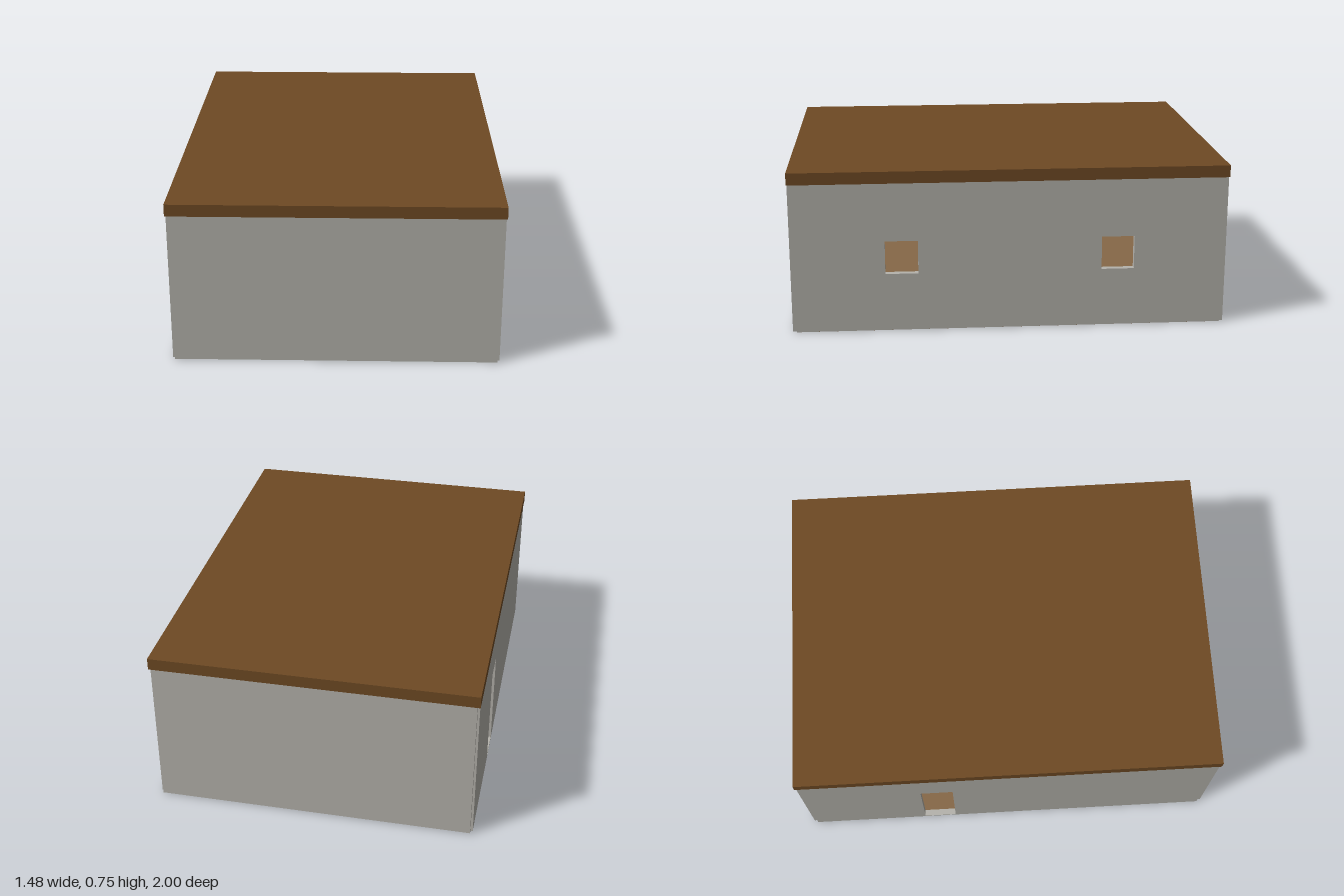
import * as THREE from 'three';

const wallGrey = new THREE.MeshStandardMaterial({ color: 0xb5b3ac });
const roofBrown = new THREE.MeshStandardMaterial({ color: 0x6f4a24 });
const floorTan = new THREE.MeshStandardMaterial({ color: 0x866847 });

const WALL_TOP = 0.703, WALL_BASE = 0.004, THICK = 0.03;

function box(name, material, w, h, d, x, y, z) {
  const mesh = new THREE.Mesh(new THREE.BoxGeometry(w, h, d), material);
  mesh.name = name;
  mesh.position.set(x, y, z);
  return mesh;
}

// Long wall along z with rectangular openings [zMin, zMax, yMin, yMax]
function sideWall(name, xInner, openings) {
  const shape = new THREE.Shape();
  const rect = (path, a, b, c, d) =>
    path.moveTo(a, c).lineTo(b, c).lineTo(b, d).lineTo(a, d).closePath();
  rect(shape, -0.98, 0.98, WALL_BASE, WALL_TOP);
  for (const [z0, z1, y0, y1] of openings) {
    const hole = new THREE.Path();
    rect(hole, -z1, -z0, y0, y1); // shape x becomes -z after the turn
    shape.holes.push(hole);
  }
  const geometry = new THREE.ExtrudeGeometry(shape, { depth: THICK, bevelEnabled: false });
  geometry.rotateY(Math.PI / 2);
  const mesh = new THREE.Mesh(geometry, wallGrey);
  mesh.name = name;
  mesh.position.x = xInner;
  return mesh;
}

export function createModel() {
  const house = new THREE.Group();
  house.name = 'house';

  // Floor slab and flat roof
  house.add(box('floor', floorTan, 1.45, 0.012, 1.96, 0, 0.006, 0));
  house.add(box('roof', roofBrown, 1.476, 0.055, 2, 0, 0.7275, 0));

  // End walls, stopping short of the corners to leave small notches
  const h = WALL_TOP - WALL_BASE;
  for (const [name, side] of [['frontWall', 1], ['backWall', -1]]) {
    house.add(box(name, wallGrey, 1.45, h, THICK, 0, WALL_BASE + h / 2, side * (0.998 - THICK / 2)));
  }

  // Left wall with two windows, right wall with a doorway
  house.add(sideWall('windowWall', 0.735 - THICK, [
    [0.42, 0.57, 0.275, 0.43],
    [-0.57, -0.42, 0.275, 0.43],
  ]));
  house.add(sideWall('doorWall', -0.735, [[-0.425, -0.27, 0.013, 0.485]]));

  return house;
}
